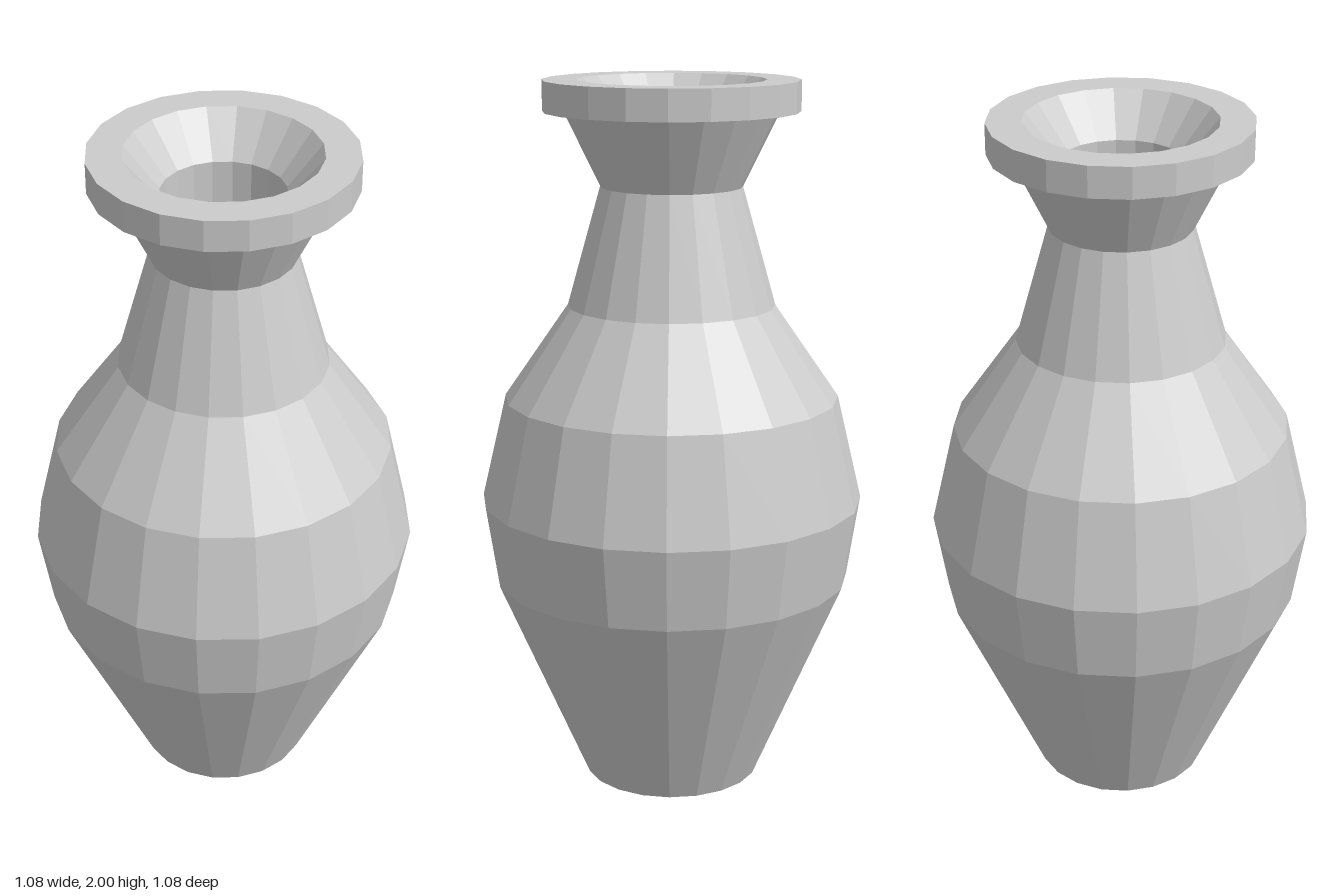
import * as THREE from 'three';

const SIDES = 20;

export function createModel() {
  const model = new THREE.Group();
  model.name = 'vase';
  const material = new THREE.MeshStandardMaterial({ color: 0xcccccc, flatShading: true });

  // Turns a [radius, height] profile around the vertical axis
  function turned(name, profile) {
    const points = profile.map(([r, y]) => new THREE.Vector2(r, y));
    const mesh = new THREE.Mesh(new THREE.LatheGeometry(points, SIDES), material);
    mesh.name = name;
    model.add(mesh);
  }

  // Closed base, belly, shoulder and tapering neck
  turned('body', [
    [0, 0], [0.25, 0], [0.505, 0.595], [0.54, 0.825],
    [0.47, 1.12], [0.29, 1.38], [0.197, 1.71],
  ]);

  // Flared collar under the lip
  turned('collar', [[0.197, 1.71], [0.297, 1.915]]);

  // Flat overhanging lip
  turned('lip', [[0.297, 1.915], [0.354, 1.915], [0.354, 2], [0.26, 2]]);

  // Funnel mouth leading into the throat with its floor
  turned('mouth', [[0.26, 2], [0.167, 1.885], [0.167, 1.5], [0, 1.5]]);

  return model;
}
